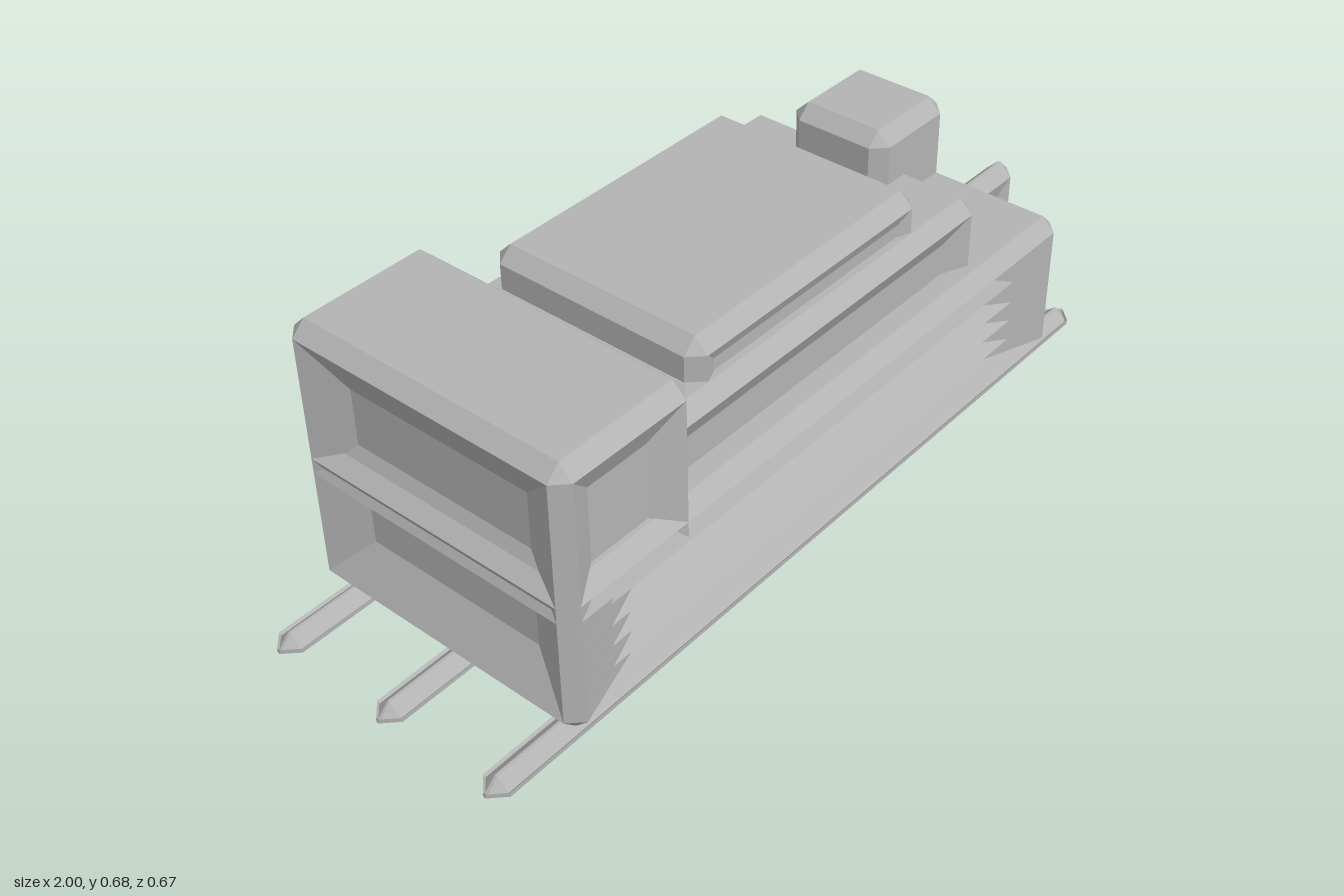
import * as THREE from 'three';

const BEVEL = 0.03;

// Rows of a plain sunken panel: [height, depth, side inset]
const sunken = (y0, y1, insetY, insetX, depth) => [
  [y0, 0, 0], [y0 + insetY, depth, insetX], [y1 - insetY, depth, insetX], [y1, 0, 0],
];

// Box with bevelled edges; panels holds optional rows for the x faces and z faces
function bevelledBox(name, material, min, max, panels = {}) {
  const pos = [];
  const mid = min.map((m, i) => (m + max[i]) / 2);
  const centre = new THREE.Vector3(...mid);

  const tri = (a, b, c) => {
    const n = b.clone().sub(a).cross(c.clone().sub(a));
    if (n.length() > 1e-9) pos.push(...a.toArray(), ...b.toArray(), ...c.toArray());
  };
  // Polygon wound to face along the direction out
  const poly = (pts, out) => {
    const n = pts[2].clone().sub(pts[0]).cross((pts[3] ?? pts[0]).clone().sub(pts[1]));
    if (n.dot(out) < 0) pts = [...pts].reverse();
    tri(pts[0], pts[1], pts[2]);
    if (pts[3]) tri(pts[0], pts[2], pts[3]);
  };
  // Corner point lying on the face of the given axis
  const corner = (axis, s) => new THREE.Vector3(...s.map((k, i) =>
    (k > 0 ? max[i] : min[i]) - (i === axis ? 0 : k * BEVEL)));
  const signs = (a, sa, u, su, v, sv) => {
    const s = [0, 0, 0];
    s[a] = sa; s[u] = su; s[v] = sv;
    return s;
  };

  for (let a = 0; a < 3; a++) {
    const u = (a + 1) % 3, v = (a + 2) % 3;
    for (const sa of [-1, 1]) {
      // Faces, flat or carved
      const out = new THREE.Vector3().setComponent(a, sa);
      const rows = a === 0 ? panels.x : a === 2 ? panels.z : null;
      if (rows) {
        const w = 2 - a;
        const lines = rows.map(([y, d, inset]) => [[0, 0], [inset, d], [-inset, d], [0, 0]].map(([i, depth], k) => {
          const p = new THREE.Vector3(0, y, 0);
          p.setComponent(a, (sa > 0 ? max[a] : min[a]) - sa * depth);
          return p.setComponent(w, (k < 2 ? min[w] + BEVEL : max[w] - BEVEL) + i);
        }));
        for (let r = 0; r + 1 < lines.length; r++) for (let k = 0; k < 3; k++) {
          poly([lines[r][k], lines[r][k + 1], lines[r + 1][k + 1], lines[r + 1][k]], out);
        }
      } else {
        poly([[-1, -1], [1, -1], [1, 1], [-1, 1]].map(([p, q]) => corner(a, signs(a, sa, u, p, v, q))), out);
      }
      // Bevels between this face and the next axis
      for (const su of [-1, 1]) {
        const lo = signs(a, sa, u, su, v, -1), hi = signs(a, sa, u, su, v, 1);
        poly([corner(a, lo), corner(a, hi), corner(u, hi), corner(u, lo)],
          new THREE.Vector3().setComponent(a, sa).setComponent(u, su));
      }
    }
  }
  // Corner triangles
  for (const x of [-1, 1]) for (const y of [-1, 1]) for (const z of [-1, 1]) {
    const s = [x, y, z];
    const p = [0, 1, 2].map((a) => corner(a, s));
    const n = p[1].clone().sub(p[0]).cross(p[2].clone().sub(p[0]));
    if (n.dot(new THREE.Vector3(...s)) < 0) p.reverse();
    tri(...p);
  }

  const geometry = new THREE.BufferGeometry();
  geometry.setAttribute('position', new THREE.Float32BufferAttribute(pos, 3));
  geometry.translate(-centre.x, -centre.y, -centre.z);
  geometry.computeVertexNormals();
  const mesh = new THREE.Mesh(geometry, material);
  mesh.name = name;
  mesh.position.copy(centre);
  return mesh;
}

export function createModel() {
  const model = new THREE.Group();
  model.name = 'layeredMachine';
  const grey = new THREE.MeshStandardMaterial({ color: 0xb3b3b3, side: THREE.DoubleSide });
  grey.name = 'plain grey';
  const add = (...args) => {
    const [name, min, max, panels] = args;
    model.add(bevelledBox(name, grey, min, max, panels));
  };

  // Main body with ribbed long sides: alternating valleys and ridges
  const ribs = [[0.1, 0, 0]];
  [0.115, 0.14, 0.165, 0.19, 0.215, 0.238, 0.262, 0.29, 0.33].forEach((y, i) =>
    ribs.push(i % 2 ? [y, 0.028, 0.1] : [y, 0.05, 0.18]));
  ribs.push([0.375, 0, 0]);
  add('body', [-0.835, 0.07, -0.335], [0.685, 0.405, 0.335],
    { x: sunken(0.1, 0.375, 0.097, 0.095, 0.045), z: ribs });

  // Tall end block
  add('endTower', [-0.835, 0.31, -0.335], [-0.5, 0.675, 0.335],
    { x: sunken(0.34, 0.645, 0.09, 0.09, 0.04), z: sunken(0.34, 0.645, 0.07, 0.065, 0.035) });

  // Stepped deck and top slab
  add('deck', [-0.6, 0.32, -0.287], [0.43, 0.557, 0.287],
    { x: sunken(0.35, 0.527, 0.07, 0.073, 0.035), z: sunken(0.35, 0.527, 0.05, 0.06, 0.025) });
  add('topSlab', [-0.41, 0.5, -0.255], [0.262, 0.643, 0.255],
    { z: sunken(0.53, 0.613, 0.028, 0.03, 0.012) });

  // Small raised cabin and the upright end fin
  add('cabin', [0.315, 0.475, -0.118], [0.55, 0.675, 0.118]);
  add('fin', [0.745, 0, -0.033], [1, 0.272, 0.033],
    { z: sunken(0.03, 0.242, 0.04, 0.035, 0.01) });

  // Three thin rails with crossed bevels
  for (const z of [-0.27, 0, 0.27]) {
    add('rail', [-1, 0.01, z - 0.033], [0.85, 0.06, z + 0.033]);
  }
  return model;
}
